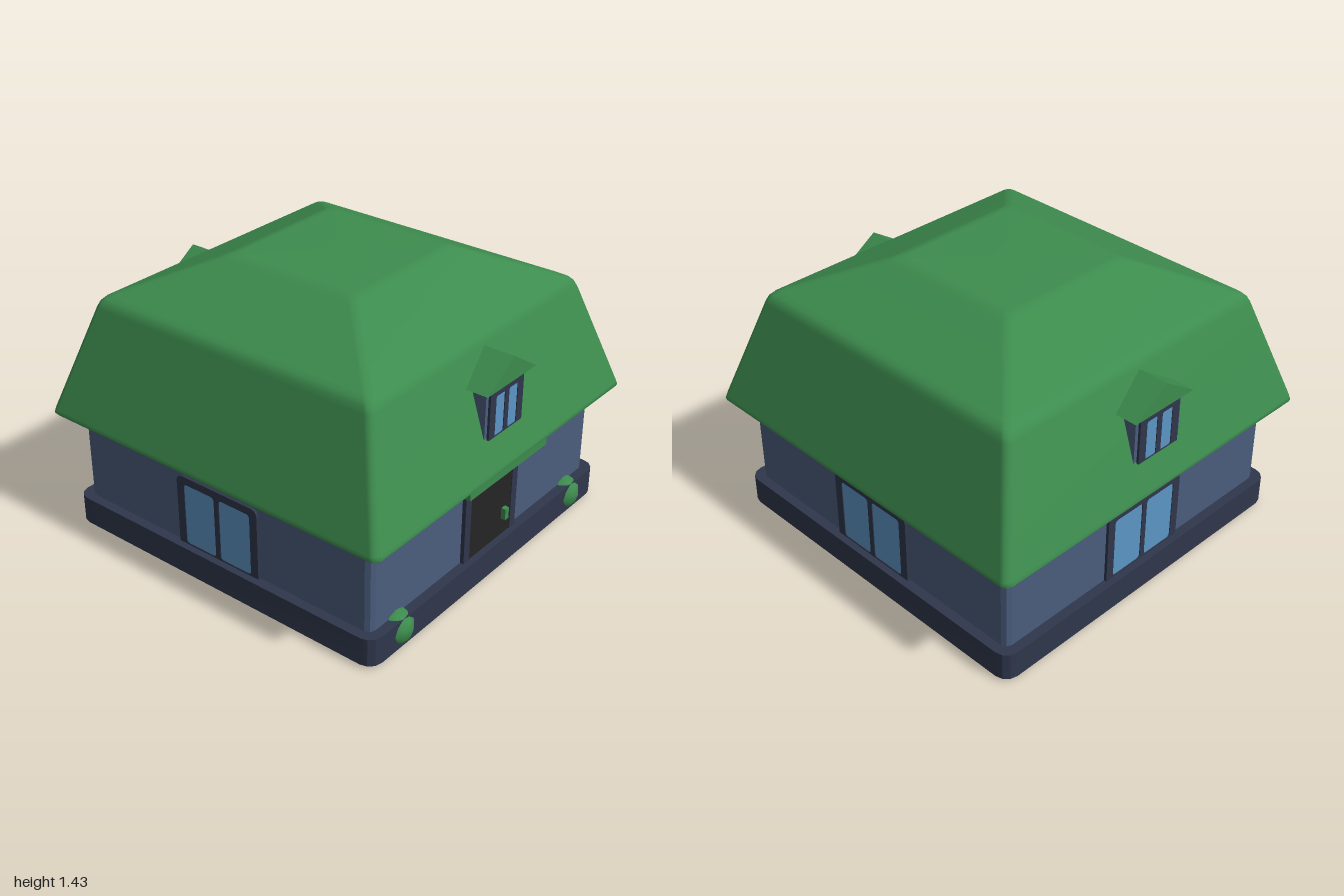
import * as THREE from 'three';
import { toCreasedNormals } from 'three/addons/utils/BufferGeometryUtils.js';

const paint = (name, color) => {
  const m = new THREE.MeshStandardMaterial({ color });
  m.name = name;
  return m;
};

// Loft through rounded squares; each ring is [half width, y, corner radius]
function loft(rings, segs) {
  const pos = [], index = [], n = 4 * (segs + 1);
  for (const [half, y, r] of rings) {
    const c = half - Math.min(r, half);
    for (let k = 0; k < 4; k++) {
      const mid = Math.PI / 4 + k * Math.PI / 2;
      const sx = Math.sign(Math.cos(mid)), sz = Math.sign(Math.sin(mid));
      for (let s = 0; s <= segs; s++) {
        const a = k * Math.PI / 2 + (s / segs) * Math.PI / 2;
        pos.push(sx * c + Math.cos(a) * (half - c), y, -sz * c - Math.sin(a) * (half - c));
      }
    }
  }
  for (let i = 0; i < rings.length - 1; i++) {
    for (let j = 0; j < n; j++) {
      const a = i * n + j, b = i * n + (j + 1) % n;
      index.push(a, b, b + n, a, b + n, a + n);
    }
  }
  const g = new THREE.BufferGeometry();
  g.setAttribute('position', new THREE.Float32BufferAttribute(pos, 3));
  g.setIndex(index);
  g.computeVertexNormals();
  return g;
}

// Trace a rectangle with separately rounded bottom and top corners
function roundRect(p, x0, y0, x1, y1, rb, rt) {
  p.moveTo(x0 + rb, y0);
  p.lineTo(x1 - rb, y0);
  p.quadraticCurveTo(x1, y0, x1, y0 + rb);
  p.lineTo(x1, y1 - rt);
  p.quadraticCurveTo(x1, y1, x1 - rt, y1);
  p.lineTo(x0 + rt, y1);
  p.quadraticCurveTo(x0, y1, x0, y1 - rt);
  p.lineTo(x0, y0 + rb);
  p.quadraticCurveTo(x0, y0, x0 + rb, y0);
  return p;
}

export function createModel() {
  const green = paint('roof green', 0x3d8c4e);
  const wall = paint('wall blue', 0x4a5d7d);
  const trim = paint('dark trim', 0x2f374b);
  const glass = paint('window glass', 0x5c95c5);
  const black = paint('door black', 0x252525);

  const house = new THREE.Group();
  house.name = 'house';
  const add = (parent, name, geo, mat, x = 0, y = 0, z = 0) => {
    const m = new THREE.Mesh(geo, mat);
    m.name = name;
    m.position.set(x, y, z);
    parent.add(m);
    return m;
  };
  const box = (w, h, d) => new THREE.BoxGeometry(w, h, d);

  // Framed opening: border with holes, and a thin panel behind it
  function framed(name, half, y0, y1, z, depth, r, holes, holeR, panelMat) {
    const g = new THREE.Group();
    g.name = name;
    const shape = roundRect(new THREE.Shape(), -half, y0, half, y1, 0.002, r);
    for (const [a, b, c, d] of holes) {
      shape.holes.push(roundRect(new THREE.Path(), a, b, c, d, holeR, holeR));
    }
    add(g, name + 'Frame', new THREE.ExtrudeGeometry(shape, { depth, bevelEnabled: false, curveSegments: 5 }), trim, 0, 0, z);
    const x0 = holes[0][0], x1 = holes[holes.length - 1][2], h = holes[0][3] - holes[0][1];
    add(g, name + 'Panel', box(x1 - x0 + 0.01, h + 0.01, 0.008), panelMat, 0, holes[0][1] + h / 2, z + depth - 0.008);
    return g;
  }

  // Foundation and walls
  add(house, 'foundation', toCreasedNormals(loft([
    [0, 0, 0], [0.94, 0, 0.07], [0.94, 0.145, 0.07], [0, 0.145, 0]], 3), 0.3), trim);
  add(house, 'walls', toCreasedNormals(loft([
    [0.89, 0.1, 0.035], [0.89, 0.66, 0.035]], 2), 0.3), wall);

  // Two-pitch hipped roof with soft edges
  add(house, 'roof', loft([
    [0, 0.612, 0], [0.975, 0.612, 0.04], [0.992, 0.615, 0.04], [1, 0.625, 0.04], [0.995, 0.645, 0.04],
    [0.823, 1.175, 0.035], [0.81, 1.204, 0.035], [0.793, 1.222, 0.035], [0.765, 1.238, 0.035],
    [0.405, 1.403, 0.035], [0.375, 1.415, 0.035], [0.34, 1.42, 0.035], [0, 1.42, 0]], 3), green);

  // Front door with handle and canopy
  house.add(framed('door', 0.215, 0.13, 0.565, 0.88, 0.03, 0.045, [[-0.17, 0.14, 0.17, 0.52]], 0.003, black));
  add(house, 'doorHandle', box(0.03, 0.06, 0.03), green, 0.11, 0.267, 0.915);
  add(house, 'doorCanopy', box(0.63, 0.04, 0.12), green, 0, 0.602, 0.935);

  // Ground-floor windows on the left, back and right
  for (const turn of [1, 2, 3]) {
    const w = framed('window', 0.25, 0.13, 0.52, 0.88, 0.025, 0.04,
      [[-0.205, 0.152, -0.015, 0.48], [0.015, 0.152, 0.205, 0.48]], 0.02, glass);
    w.rotation.y = turn * Math.PI / 2;
    house.add(w);
  }

  // Dormers on the front and back
  const gable = new THREE.Shape([[-0.195, 1.05], [0.195, 1.05], [0, 1.177]].map(p => new THREE.Vector2(...p)));
  for (const turn of [0, Math.PI]) {
    const d = new THREE.Group();
    d.name = 'dormer';
    d.rotation.y = turn;
    add(d, 'dormerWalls', box(0.306, 0.25, 0.15), wall, 0, 0.93, 0.87);
    add(d, 'dormerRoof', new THREE.ExtrudeGeometry(gable, { depth: 0.2, bevelEnabled: false }), green, 0, 0, 0.78);
    d.add(framed('dormerWindow', 0.133, 0.793, 1.05, 0.935, 0.022, 0.03,
      [[-0.087, 0.797, -0.016, 1.002], [0.016, 0.797, 0.087, 1.002]], 0.012, glass));
    house.add(d);
  }

  // Small faceted shrubs poking out of the foundation
  for (const x of [-0.705, 0.705]) {
    const shrub = add(house, 'shrub', new THREE.IcosahedronGeometry(0.093, 1), green, x, 0.078, 0.88);
    shrub.rotation.y = 0.2;
  }
  return house;
}
